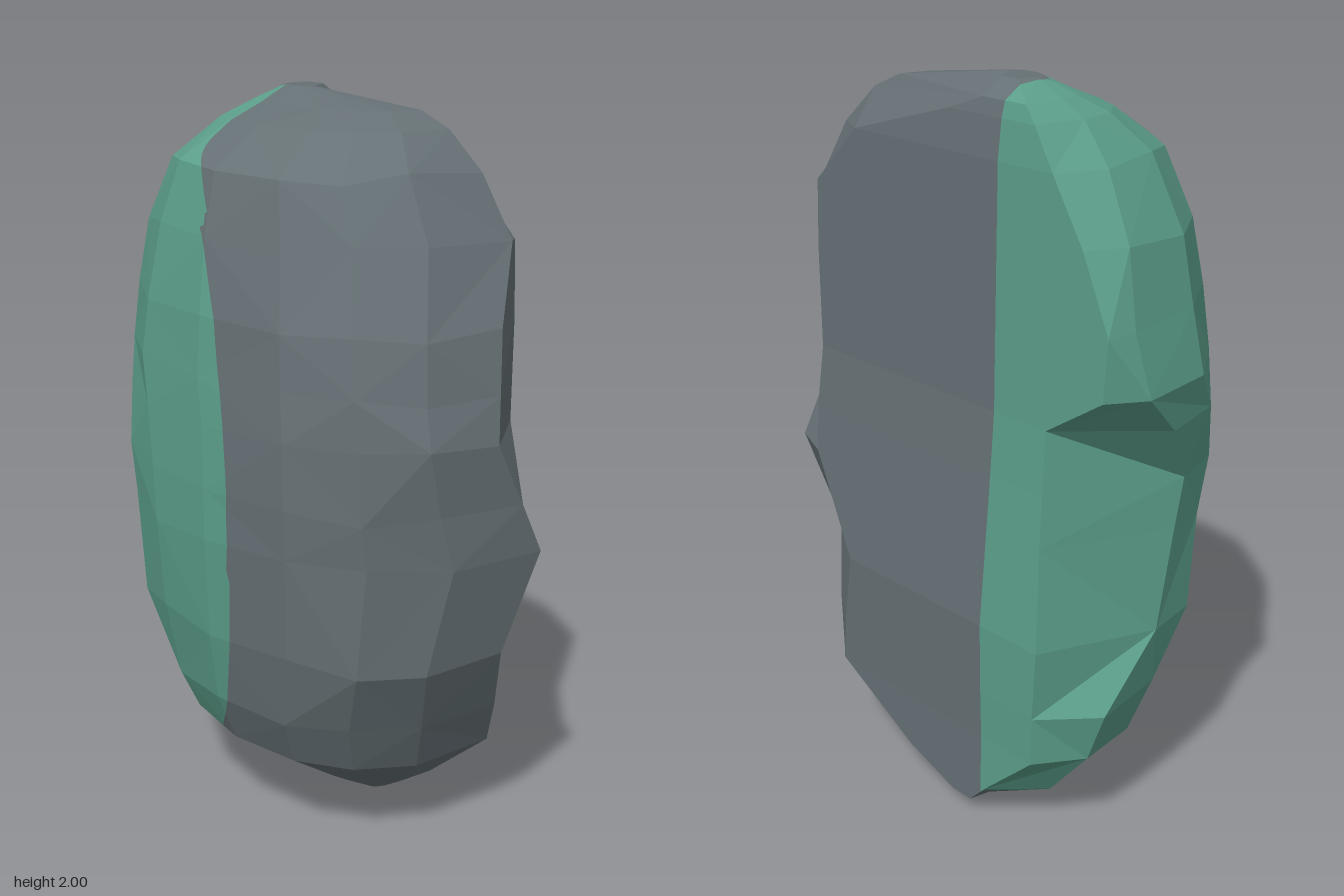
import * as THREE from 'three';

// Level sections: y, front ridge x z, flat side x, its front z and back z, back ridge x z, dome x z
const SECTIONS = [
  [0.00, 0.22, 0.12, 0.27, 0.06, 0.00, 0.24, -0.01, 0.19, 0.06],
  [0.04, 0.23, 0.19, 0.33, -0.06, -0.13, 0.27, -0.14, 0.12, 0.03],
  [0.10, 0.26, 0.28, 0.33, 0.12, -0.19, 0.20, -0.31, 0.02, 0.00],
  [0.26, 0.30, 0.46, 0.33, 0.42, -0.37, 0.20, -0.45, -0.22, 0.00],
  [0.40, 0.26, 0.52, 0.335, 0.40, -0.38, 0.19, -0.50, -0.28, 0.00],
  [0.60, 0.19, 0.60, 0.34, 0.36, -0.40, 0.02, -0.515, -0.32, 0.02],
  [0.88, 0.27, 0.65, 0.32, 0.52, -0.39, -0.02, -0.53, -0.34, 0.03],
  [1.02, 0.20, 0.645, 0.31, 0.52, -0.39, -0.04, -0.54, -0.34, 0.03],
  [1.19, 0.11, 0.64, 0.30, 0.50, -0.39, 0.07, -0.60, -0.335, 0.02],
  [1.31, 0.13, 0.62, 0.30, 0.50, -0.58, 0.20, -0.64, -0.33, 0.00],
  [1.47, 0.16, 0.59, 0.30, 0.50, -0.595, 0.22, -0.605, -0.32, 0.00],
  [1.66, 0.27, 0.51, 0.30, 0.49, -0.51, 0.20, -0.56, -0.285, -0.02],
  [1.82, 0.25, 0.42, 0.30, 0.32, -0.41, 0.17, -0.46, -0.235, -0.04],
];
const CROWN = [
  [1.92, 0.23, 0.32, 0.29, -0.04, -0.34, 0.16, -0.37, -0.08, -0.06],
  [1.96, 0.22, 0.23, 0.28, -0.15, -0.30, 0.17, -0.31, 0.03, -0.10],
  [2.00, 0.15, -0.10, 0.22, -0.15, -0.21, 0.17, -0.22, 0.12, -0.15],
];

const clamp = THREE.MathUtils.clamp;

// Seeded noise for uneven facets
let seed = 7;
const noise = () => {
  seed = (seed * 16807) % 2147483647;
  return seed / 2147483647 - 0.5;
};

// One closed outline: flat side edge, front ridge, rounded dome, back ridge, flat side edge
function outline([y, xF, zF, xS, zSF, zSB, xB, zB, xD, zD]) {
  const pts = [new THREE.Vector3(xS, y, zSF)];
  const steps = 4;
  const rough = y > 0.2 && y < 1.9 ? 0.012 : 0;
  const arc = (xE, zE, t, power) => new THREE.Vector3(
    xE + (xD - xE) * Math.sin(t) ** power, y,
    zD + (zE - zD) * Math.max(0, Math.cos(t)) ** power);
  for (let i = 0; i <= 2 * steps; i++) {
    const front = i <= steps;
    const t = (front ? i : 2 * steps - i) / steps * Math.PI / 2;
    const p = front ? arc(xF, zF, t, 0.8) : arc(xB, zB, t, 0.86);
    if (i % steps) {
      p.x += noise() * rough;
      p.y += noise() * rough * 3;
      p.z += noise() * rough;
    }
    pts.push(p);
  }
  pts.push(new THREE.Vector3(xS, y, zSB));
  return pts;
}

// Facets of the whole stone
function stoneTriangles() {
  const rings = [...SECTIONS, ...CROWN].map(outline);
  const n = rings[0].length, tris = [];
  for (let r = 0; r + 1 < rings.length; r++) {
    for (let j = 0; j < n; j++) {
      const k = (j + 1) % n, lo = rings[r], hi = rings[r + 1];
      if ((r + j) % 2) tris.push([lo[j], hi[j], lo[k]], [lo[k], hi[j], hi[k]]);
      else tris.push([lo[j], hi[j], hi[k]], [lo[j], hi[k], lo[k]]);
    }
  }
  const top = rings[rings.length - 1], bottom = rings[0];
  for (let j = 1; j < n - 1; j++) {
    tris.push([top[0], top[j + 1], top[j]], [bottom[0], bottom[j], bottom[j + 1]]);
  }
  return tris;
}

// Negative inside the green area at the back
function greenEdge(p) {
  const k = clamp((-0.12 - p.x) / 0.22, 0, 1);
  const power = p.y < 0.8 ? 1.3 : 2;
  const crownShift = p.y > 1.7 && p.x < 0.13 ? 0.04 : 0;
  const edge = -0.2 - 0.03 * (p.y - 1) + crownShift + 0.34 * k ** power;
  return Math.max(p.z - edge, 0.07 - p.y);
}

// Split a facet into four smaller coplanar ones
function subdivide(tris) {
  return tris.flatMap(([a, b, c]) => {
    const ab = a.clone().lerp(b, 0.5), bc = b.clone().lerp(c, 0.5), ca = c.clone().lerp(a, 0.5);
    return [[a, ab, ca], [ab, b, bc], [ca, bc, c], [ab, bc, ca]];
  });
}

// Keep the part of each facet on one side of the colour border
function clipped(tris, sign) {
  const out = [];
  for (const tri of tris) {
    const d = tri.map((p) => greenEdge(p) * sign), poly = [];
    for (let i = 0; i < 3; i++) {
      const j = (i + 1) % 3;
      if (d[i] >= 0) poly.push(tri[i]);
      if (d[i] >= 0 !== d[j] >= 0) poly.push(tri[i].clone().lerp(tri[j], d[i] / (d[i] - d[j])));
    }
    for (let i = 1; i + 1 < poly.length; i++) out.push(poly[0], poly[i], poly[i + 1]);
  }
  const geo = new THREE.BufferGeometry().setFromPoints(out);
  geo.computeVertexNormals();
  return geo;
}

export function createModel() {
  seed = 7;
  const stoneGrey = new THREE.MeshStandardMaterial({ color: 0x667175 });
  stoneGrey.name = 'stone grey';
  const mossGreen = new THREE.MeshStandardMaterial({ color: 0x5c9f8b });
  mossGreen.name = 'moss green';

  const tris = subdivide(subdivide(subdivide(stoneTriangles())));
  const bare = new THREE.Mesh(clipped(tris, 1), stoneGrey);
  bare.name = 'bareStone';
  const mossy = new THREE.Mesh(clipped(tris, -1), mossGreen);
  mossy.name = 'mossyBack';

  const group = new THREE.Group();
  group.name = 'splitBoulder';
  group.add(bare, mossy);
  return group;
}
